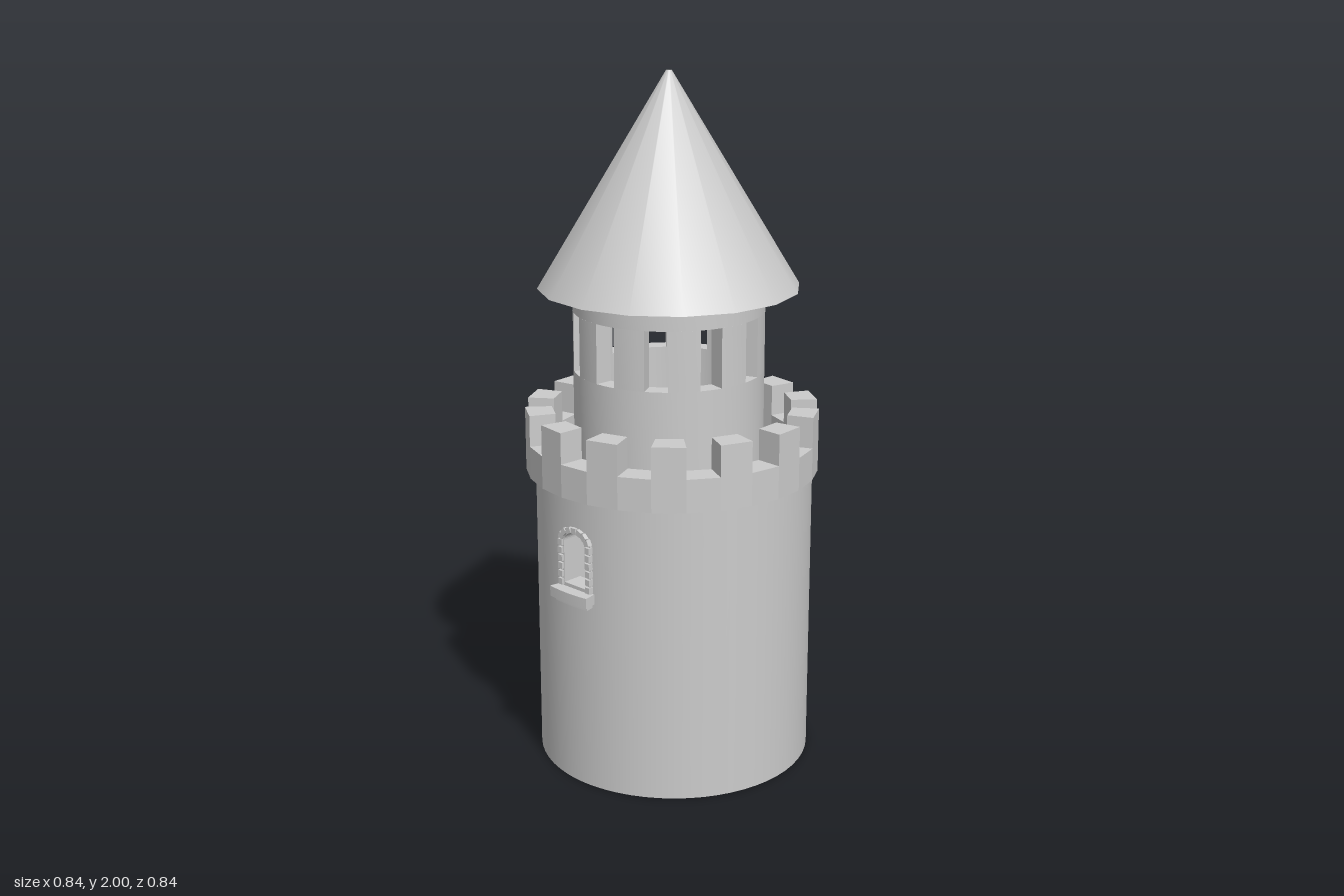
import * as THREE from 'three';
import { toCreasedNormals } from 'three/addons/utils/BufferGeometryUtils.js';

const RAD = Math.PI / 180;
const material = new THREE.MeshStandardMaterial({ color: 0xcccccc });
const thin = new THREE.MeshStandardMaterial({ color: 0xcccccc, side: THREE.DoubleSide });

// Azimuth is measured in degrees from the front (+z) towards +x.
const polar = (az, r) => new THREE.Vector2(r * Math.sin(az * RAD), -r * Math.cos(az * RAD));

function arcPoints(az0, az1, r, n) {
  return Array.from({ length: n + 1 }, (_, i) => polar(az0 + ((az1 - az0) * i) / n, r));
}

function add(parent, name, geometry, mat = material) {
  const mesh = new THREE.Mesh(geometry, mat);
  mesh.name = name;
  parent.add(mesh);
  return mesh;
}

// Turns a plan shape into a solid standing between two heights
function raise(shape, y0, y1, crease) {
  const g = new THREE.ExtrudeGeometry(shape, { depth: y1 - y0, bevelEnabled: false });
  g.rotateX(-Math.PI / 2).translate(0, y0, 0);
  return toCreasedNormals(g, crease * RAD);
}

// Block covering part of a ring
function wedge(az0, az1, r0, r1, y0, y1, n = 1) {
  const pts = [...arcPoints(az0, az1, r1, n), ...arcPoints(az0, az1, r0, n).reverse()];
  return raise(new THREE.Shape(pts), y0, y1, 20);
}

// Full ring with n sides
function ring(r0, r1, y0, y1, n, start = 0, crease = 20) {
  const shape = new THREE.Shape(arcPoints(start, start + 360, r1, n).slice(0, n));
  shape.holes.push(new THREE.Path(arcPoints(start, start + 360, r0, n).slice(0, n)));
  return raise(shape, y0, y1, crease);
}

// Thin curved wall whose lower and upper edges follow functions of u (-1..1)
function curvedWall(r, az0, az1, low, high) {
  const n = Math.max(10, Math.round((az1 - az0) / 6));
  const pos = [], nor = [], idx = [];
  for (let i = 0; i <= n; i++) {
    const az = (az0 + ((az1 - az0) * i) / n) * RAD;
    const u = (2 * i) / n - 1;
    for (const y of [low(u), high(u)]) {
      pos.push(r * Math.sin(az), y, r * Math.cos(az));
      nor.push(Math.sin(az), 0, Math.cos(az));
    }
    const k = 2 * i;
    if (i < n) idx.push(k, k + 2, k + 3, k, k + 3, k + 1);
  }
  const g = new THREE.BufferGeometry();
  g.setAttribute('position', new THREE.Float32BufferAttribute(pos, 3));
  g.setAttribute('normal', new THREE.Float32BufferAttribute(nor, 3));
  g.setIndex(idx);
  return g;
}

// Arched outline used by the window surround
function archPath(Type, half, y0, spring, rise) {
  const p = new Type();
  p.moveTo(-half, y0);
  p.lineTo(half, y0);
  p.lineTo(half, spring);
  p.absellipse(0, spring, half, rise, 0, Math.PI, false);
  p.lineTo(-half, y0);
  return p;
}

function createBody() {
  const body = new THREE.Group();
  body.name = 'body';
  body.position.set(0.017, 0, -0.002);
  const R = 0.4, TOP = 0.9;
  const door = [63.7, 87.3], win = [258.7, 272.7];
  const flat = (y) => () => y;

  // Walls around the door and window openings
  add(body, 'frontWall', curvedWall(R, win[1] - 360, door[0], flat(0), flat(TOP)), thin);
  add(body, 'backWall', curvedWall(R, door[1], win[0], flat(0), flat(TOP)), thin);
  add(body, 'wallAboveDoor', curvedWall(R, ...door, (u) => 0.165 + 0.016 * Math.sqrt(1 - u ** 4), flat(TOP)), thin);
  add(body, 'doorSill', curvedWall(R, ...door, flat(0), flat(0.01)), thin);
  add(body, 'wallBelowWindow', curvedWall(R, ...win, flat(0), flat(0.6)), thin);
  add(body, 'wallAboveWindow', curvedWall(R, ...win, (u) => 0.73 + 0.035 * Math.sqrt(1 - u * u), flat(TOP)), thin);

  // Window surround, ledge and edging stones
  const window = new THREE.Group();
  window.name = 'window';
  window.rotation.y = 265.7 * RAD;
  const frame = archPath(THREE.Shape, 0.06, 0.59, 0.73, 0.045);
  frame.holes.push(archPath(THREE.Path, 0.044, 0.605, 0.73, 0.03));
  const frameGeo = new THREE.ExtrudeGeometry(frame, { depth: 0.06, bevelEnabled: false, curveSegments: 10 });
  add(window, 'windowFrame', frameGeo.translate(0, 0, 0.342));
  add(window, 'windowLedge', wedge(-9.5, 9.5, 0.38, 0.438, 0.565, 0.595, 8));
  add(window, 'windowLedgeBase', wedge(-8.5, 8.5, 0.38, 0.425, 0.553, 0.567, 8));
  const stone = (x, y, turn) => {
    const m = add(window, 'edgeStone', new THREE.BoxGeometry(0.016, 0.018, 0.02));
    m.position.set(x, y, 0.4);
    m.rotation.z = turn;
  };
  for (let i = 0; i < 6; i++) for (const s of [-1, 1]) stone(s * 0.054, 0.607 + i * 0.0235, 0);
  for (let i = 1; i < 8; i++) {
    const a = (i / 8) * Math.PI;
    stone(0.054 * Math.cos(a), 0.73 + 0.04 * Math.sin(a), a);
  }
  body.add(window);
  return body;
}

function createParapet() {
  const parapet = new THREE.Group();
  parapet.name = 'parapet';
  parapet.position.set(0.004, 0, 0.001);
  const COUNT = 14, STEP = 360 / COUNT, START = 5.6;
  add(parapet, 'parapetRing', ring(0.345, 0.421, 0.87, 0.965, COUNT * 2, START, 10));
  add(parapet, 'walkway', ring(0.25, 0.39, 0.875, 0.9, 48));
  for (let i = 0; i < COUNT; i++) {
    const az = START + STEP * (i + 0.5);
    add(parapet, 'merlon', wedge(az, az + STEP / 2, 0.345, 0.421, 0.96, 1.055));
  }
  return parapet;
}

function createTurret() {
  const turret = new THREE.Group();
  turret.name = 'turret';
  turret.position.set(-0.004, 0, -0.004);
  const COUNT = 11, STEP = 360 / COUNT, HALF = 6.8, R0 = 0.22, R1 = 0.272;
  add(turret, 'lowerWall', ring(R0, R1, 0.875, 1.165, 55));
  add(turret, 'upperWall', ring(R0, R1, 1.335, 1.4, 55));
  // Piers between the window slots
  for (let i = 0; i < COUNT; i++) {
    const az = 7 + i * STEP;
    add(turret, 'pier', wedge(az + HALF, az + STEP - HALF, R0, R1, 1.165, 1.335, 4));
  }
  // Conical roof, hollow underneath
  const roof = add(turret, 'roof', new THREE.CylinderGeometry(0.008, 0.371, 0.6, 16, 1, true), thin);
  roof.position.y = 1.7;
  return turret;
}

export function createModel() {
  const model = new THREE.Group();
  model.name = 'castleTower';
  model.add(createBody(), createParapet(), createTurret());
  return model;
}
